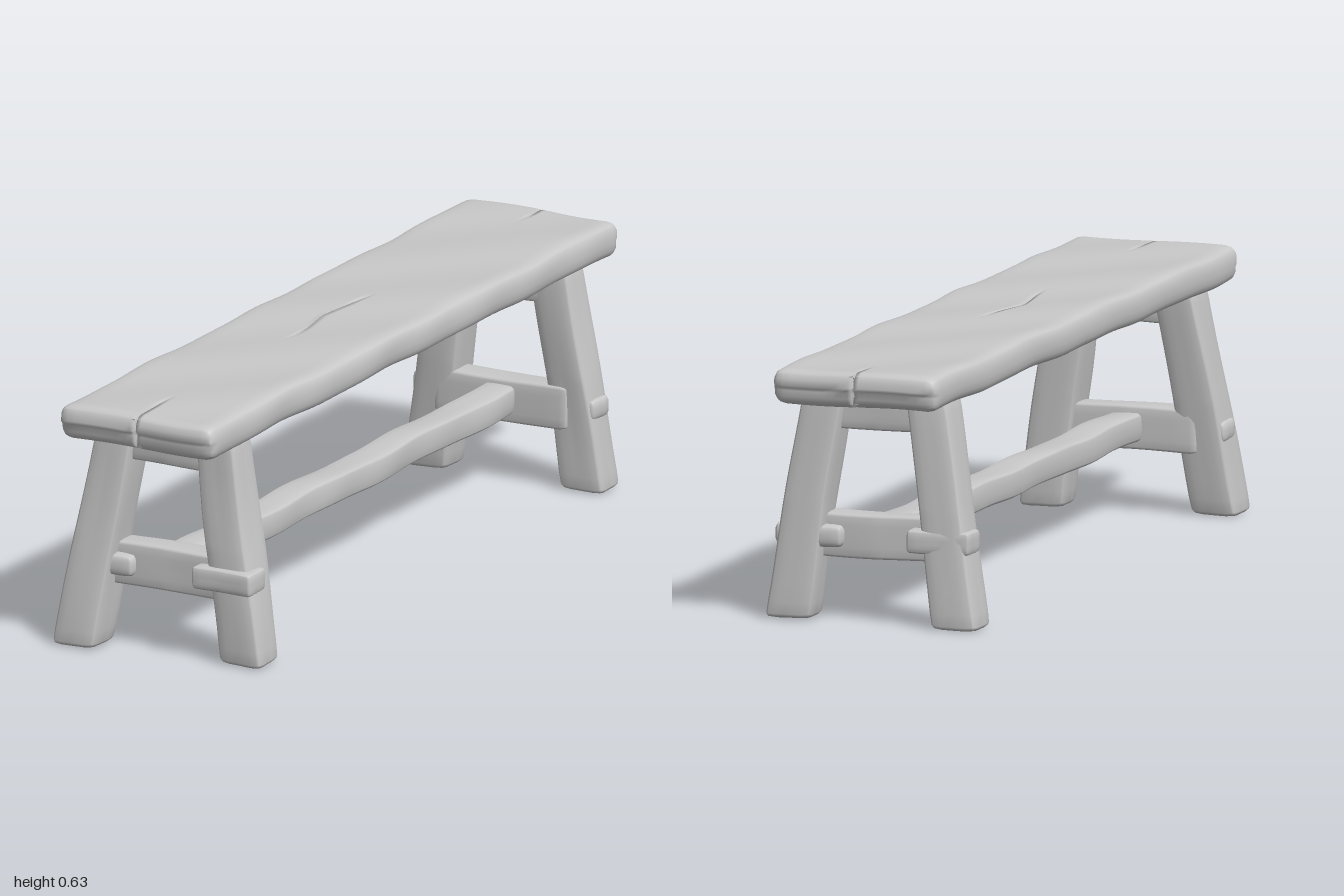
import * as THREE from 'three';
import { mergeVertices } from 'three/addons/utils/BufferGeometryUtils.js';

// Hand-hewn timber: a rounded box with gentle waves; shape(p, local) then bends it into place.
function timber(name, material, [w, h, d], [nx, ny, nz], radius, wave, seed, shape) {
  const geo = new THREE.BoxGeometry(2, 2, 2, nx, ny, nz);
  geo.deleteAttribute('uv');
  geo.deleteAttribute('normal');
  const pos = geo.attributes.position;
  const half = new THREE.Vector3(w / 2, h / 2, d / 2);
  const inner = half.clone().subScalar(radius);
  const p = new THREE.Vector3(), q = new THREE.Vector3(), local = new THREE.Vector3();
  // crowd the rows near the middle and the edges
  const crowd = t => Math.sign(t) * (1 - Math.cos(Math.PI * Math.abs(t))) / 2;
  for (let i = 0; i < pos.count; i++) {
    local.fromBufferAttribute(pos, i);
    p.set(crowd(local.x), crowd(local.y), crowd(local.z)).multiply(half);
    q.copy(p).clamp(inner.clone().negate(), inner);
    p.sub(q).setLength(radius).add(q);
    const { x, y, z } = p;
    p.x += wave * Math.sin(z * 17 + y * 13 + seed) * Math.cos(z * 7.3 + seed * 2);
    p.y += wave * 0.7 * Math.sin(z * 13 + x * 15 + seed * 3);
    p.z += wave * 0.7 * Math.sin(x * 19 + y * 11 + seed * 5);
    if (shape) shape(p, local);
    pos.setXYZ(i, p.x, p.y, p.z);
  }
  const merged = mergeVertices(geo, 1e-5);
  merged.computeVertexNormals();
  const mesh = new THREE.Mesh(merged, material);
  mesh.name = name;
  return mesh;
}

export function createModel() {
  const bench = new THREE.Group();
  bench.name = 'bench';
  const wood = new THREE.MeshStandardMaterial({ color: 0xc8c8c8 });
  wood.name = 'pale grey wood';

  // Seat plank, split at both ends and cracked along the middle
  const smooth = THREE.MathUtils.smoothstep;
  const seat = timber('seat', wood, [0.42, 0.086, 1.994], [24, 8, 96], 0.03, 0.0035, 1, (p, local) => {
    const z = p.z;
    const inMiddle = Math.max(0, 1 - Math.abs((z - 0.04) / 0.2));
    const near = 1 - Math.abs(local.x);
    p.x += inMiddle * -0.03 * near * near;
    if (Math.abs(local.x) < 0.01) {
      const end = z > 0 ? smooth(z, 0.8, 0.95) : smooth(-z, 0.88, 0.97);
      p.y *= 1 - 0.6 * end - 0.4 * Math.min(1, inMiddle * 2);
      if (Math.abs(local.z) > 0.999) p.z -= Math.sign(z) * 0.035;
    }
    // underside edges worn in towards the ends
    if (p.y < 0) p.z *= 1 - 0.006 * smooth(Math.abs(z), 0.9, 1);
  });
  seat.position.y = 0.58;
  bench.add(seat);

  // Splayed legs: side, z at the foot, z at the top, depth
  const legs = [
    ['frontRightLeg', -1, 0.862, 0.795, 0.115],
    ['frontLeftLeg', 1, 0.815, 0.8, 0.11],
    ['backRightLeg', -1, -0.84, -0.81, 0.11],
    ['backLeftLeg', 1, -0.84, -0.815, 0.1],
  ];
  legs.forEach(([name, side, footZ, topZ, depth], i) => {
    const height = 0.56;
    const leg = timber(name, wood, [0.118, height, depth], [8, 16, 8], 0.02, 0.003, i + 2, p => {
      const t = p.y / height + 0.5;
      p.x = p.x * (1 - 0.12 * t) + side * (0.214 - 0.083 * t);
      p.z += footZ + (topZ - footZ) * t;
      p.y = Math.max(0, p.y + height / 2);
    });
    bench.add(leg);
  });

  // Joinery of each end; the back is the front turned half round
  const place = (parent, name, size, at, radius, seed) => {
    const mesh = timber(name, wood, size, [10, 8, 8], radius, 0.0025, seed);
    mesh.position.set(...at);
    parent.add(mesh);
  };
  ['frontEnd', 'backEnd'].forEach((name, i) => {
    const end = new THREE.Group();
    end.name = name;
    place(end, 'crossRail', [0.36, 0.108, 0.075], [0, 0.205, 0.81], 0.013, 7 + i);
    place(end, 'topRail', [0.24, 0.09, 0.075], [0, 0.505, 0.805], 0.014, 9 + i);
    place(end, 'lapTenon', [0.16, 0.057, 0.085], [0.17, 0.208, 0.842], 0.012, 11 + i);
    place(end, 'pegTenon', [0.172, 0.055, 0.085], [-0.162, 0.205, 0.832], 0.018, 13 + i);
    end.rotation.y = i * Math.PI;
    bench.add(end);
  });

  // Long stretcher joining the two cross rails
  const stretcher = timber('longStretcher', wood, [0.085, 0.07, 1.58], [6, 6, 64], 0.016, 0.004, 4);
  stretcher.position.y = 0.207;
  bench.add(stretcher);

  return bench;
}
